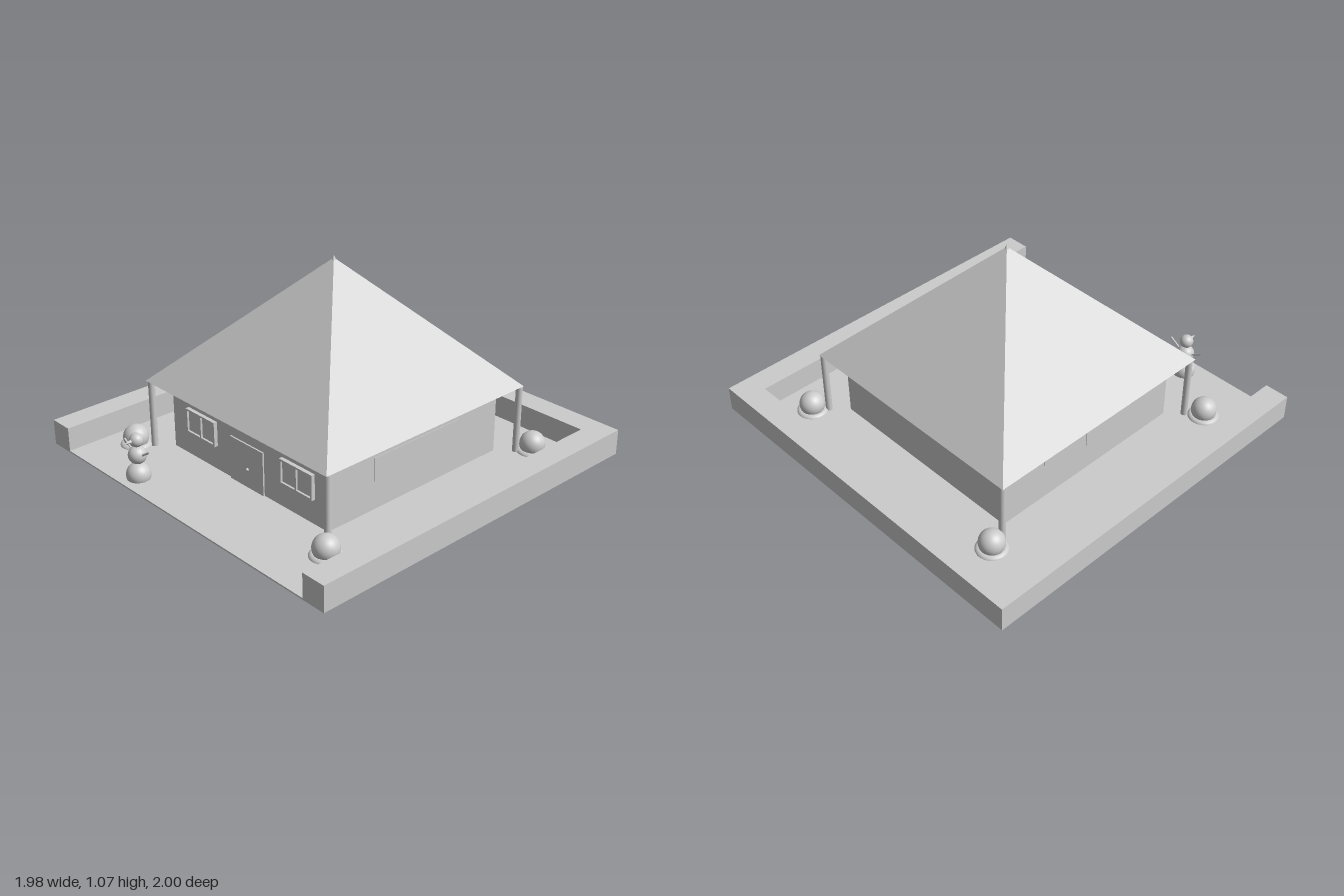
import * as THREE from 'three';

const grey = new THREE.MeshStandardMaterial({ color: 0xcccccc });
grey.name = 'plain grey';

export function createModel() {
  const model = new THREE.Group();
  model.name = 'gardenHouse';

  const add = (name, geometry, x, y, z, parent = model) => {
    const mesh = new THREE.Mesh(geometry, grey);
    mesh.name = name;
    mesh.position.set(x, y, z);
    parent.add(mesh);
    return mesh;
  };
  // Box given by its limits on each axis
  const box = (name, [x0, x1], [y0, y1], [z0, z1], parent) =>
    add(name, new THREE.BoxGeometry(x1 - x0, y1 - y0, z1 - z0),
      (x0 + x1) / 2, (y0 + y1) / 2, (z0 + z1) / 2, parent);

  // Yard and the garden wall around three sides
  box('ground', [-0.99, 0.99], [0.033, 0.041], [-1, 1]);
  box('backGardenWall', [-0.99, 0.99], [0.035, 0.166], [-1, -0.87]);
  box('frontGardenWall', [-0.99, 0.99], [0.035, 0.166], [0.87, 1]);
  box('sideGardenWall', [0.86, 0.99], [0.035, 0.166], [-0.87, 0.87]);

  // House body
  box('houseWalls', [-0.565, 0.56], [0.028, 0.396], [-0.56, 0.567]);

  // Four-sided roof with sharp hips
  const roof = new THREE.ConeGeometry(0.657 * Math.SQRT2, 0.657, 4, 1).toNonIndexed();
  roof.rotateY(Math.PI / 4);
  roof.computeVertexNormals();
  add('roof', roof, 0, 0.395 + 0.3285, 0);
  add('finial', new THREE.ConeGeometry(0.022, 0.05, 20), 0, 1.041, 0);

  // Corner posts
  for (const x of [-0.64, 0.637])
    for (const z of [-0.633, 0.646])
      add('post', new THREE.CylinderGeometry(0.017, 0.017, 0.372, 24), x, 0.21, z);

  // Long windows on the front and back
  box('backWindow', [-0.26, 0.30], [0.19, 0.31], [-0.562, -0.555]);
  box('frontWindow', [-0.28, 0.28], [0.19, 0.31], [0.565, 0.57]);
  box('backWindowBar', [0.005, 0.015], [0.19, 0.31], [-0.565, -0.56]);

  // Windows beside the door, each with a frame and a middle bar
  for (const z of [-0.325, 0.37]) {
    const win = new THREE.Group();
    win.name = 'sideWindow';
    model.add(win);
    box('pane', [-0.574, -0.565], [0.175, 0.295], [z - 0.1, z + 0.1], win);
    for (const dz of [-0.105, 0, 0.105])
      box('frameUpright', [-0.585, -0.565], [0.17, 0.3], [z + dz - 0.005, z + dz + 0.005], win);
    for (const y of [0.175, 0.295])
      box('frameRail', [-0.585, -0.565], [y - 0.005, y + 0.005], [z - 0.105, z + 0.105], win);
  }

  // Door
  box('door', [-0.573, -0.564], [0.035, 0.27], [-0.11, 0.13]);
  add('doorKnob', new THREE.SphereGeometry(0.008, 16, 12), -0.577, 0.14, 0.02);

  // Round bushes in ring planters
  for (const [x, z] of [[-0.7, -0.71], [0.7, -0.63], [-0.7, 0.7], [0.7, 0.7]]) {
    add('bush', new THREE.SphereGeometry(0.065, 32, 24), x, 0.081, z);
    add('planterRing', new THREE.TorusGeometry(0.061, 0.02, 16, 48).rotateX(Math.PI / 2), x, 0.035, z);
  }

  // Snowman facing out of the open side
  const snowman = new THREE.Group();
  snowman.name = 'snowman';
  snowman.position.set(-0.895, 0, -0.415);
  model.add(snowman);
  for (const [name, r, y] of [['base', 0.061, 0.061], ['torso', 0.046, 0.166], ['head', 0.035, 0.245]])
    add(name, new THREE.SphereGeometry(r, 32, 24), 0, y, 0, snowman);
  add('nose', new THREE.ConeGeometry(0.011, 0.04, 16).rotateZ(Math.PI / 2), -0.05, 0.247, 0, snowman);
  for (const side of [-1, 1]) {
    const path = new THREE.LineCurve3(
      new THREE.Vector3(0, 0.17, side * 0.03), new THREE.Vector3(0, 0.215, side * 0.1));
    add('arm', new THREE.TubeGeometry(path, 1, 0.005, 8), 0, 0, 0, snowman);
  }
  return model;
}
